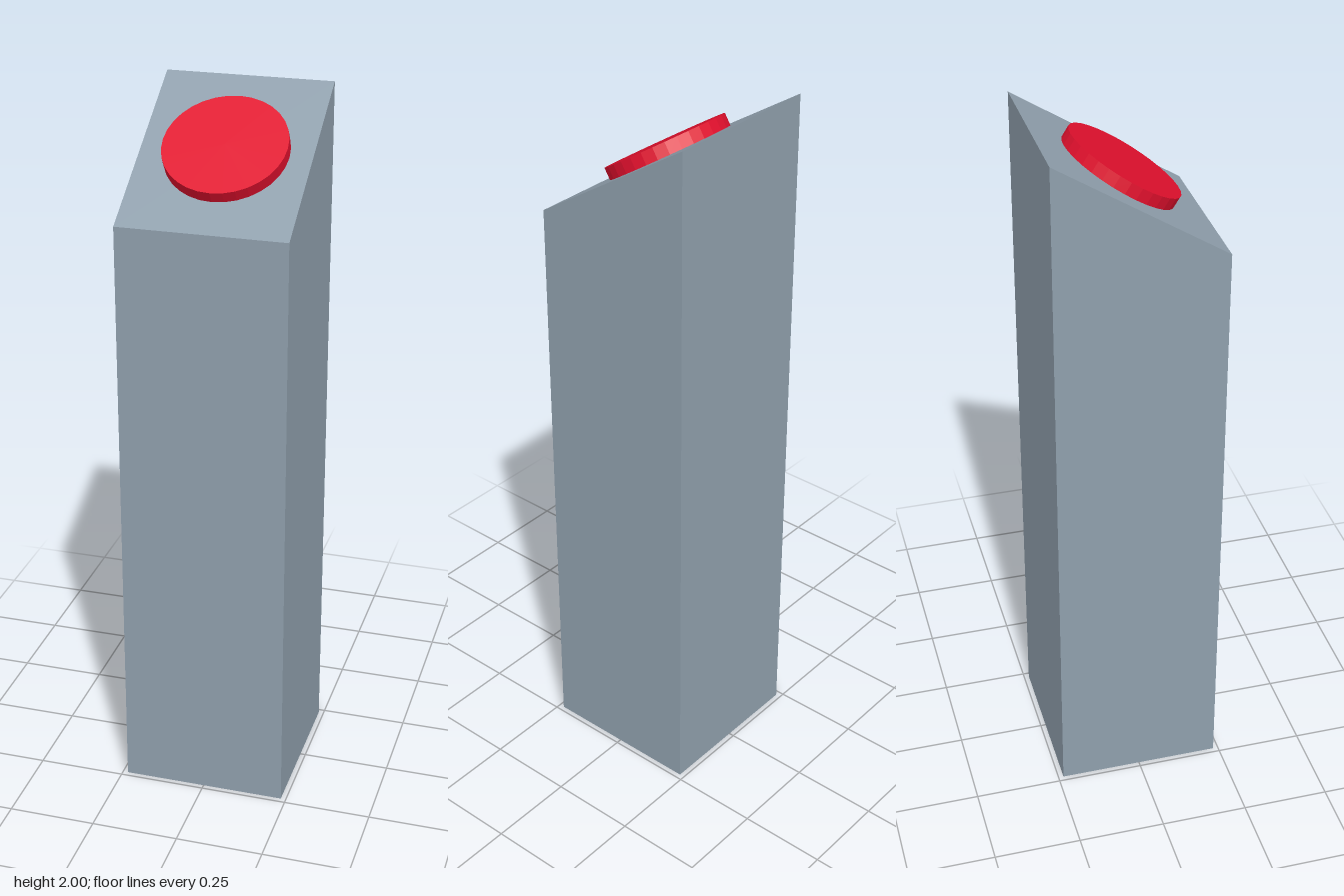
import * as THREE from 'three';

const HALF = 0.235;       // half width of the square post
const FRONT_TOP = 1.7;    // height of the front edge
const BACK_TOP = 2.0;     // height of the back edge
const SLOPE = Math.atan2(BACK_TOP - FRONT_TOP, HALF * 2);

export function createModel() {
  const group = new THREE.Group();
  group.name = 'buttonPost';

  // Square post whose top slants down towards the front
  const postGeometry = new THREE.BoxGeometry(HALF * 2, BACK_TOP, HALF * 2);
  postGeometry.translate(0, BACK_TOP / 2, 0);
  const position = postGeometry.attributes.position;
  for (let i = 0; i < position.count; i++) {
    if (position.getY(i) > 1 && position.getZ(i) > 0) position.setY(i, FRONT_TOP);
  }
  postGeometry.computeVertexNormals();
  const post = new THREE.Mesh(
    postGeometry,
    new THREE.MeshStandardMaterial({ color: 0x8f9fac, flatShading: true })
  );
  post.name = 'post';
  group.add(post);

  // Round push button lying on the slanted top
  const thickness = 0.035;
  const buttonGeometry = new THREE.CylinderGeometry(0.17, 0.17, thickness, 32);
  buttonGeometry.translate(0, thickness / 2, 0);
  const button = new THREE.Mesh(
    buttonGeometry,
    new THREE.MeshStandardMaterial({ color: 0xe0102d, flatShading: true })
  );
  button.name = 'button';
  button.position.set(0.0025, (FRONT_TOP + BACK_TOP) / 2, -0.001);
  button.rotation.x = SLOPE;
  group.add(button);

  return group;
}
